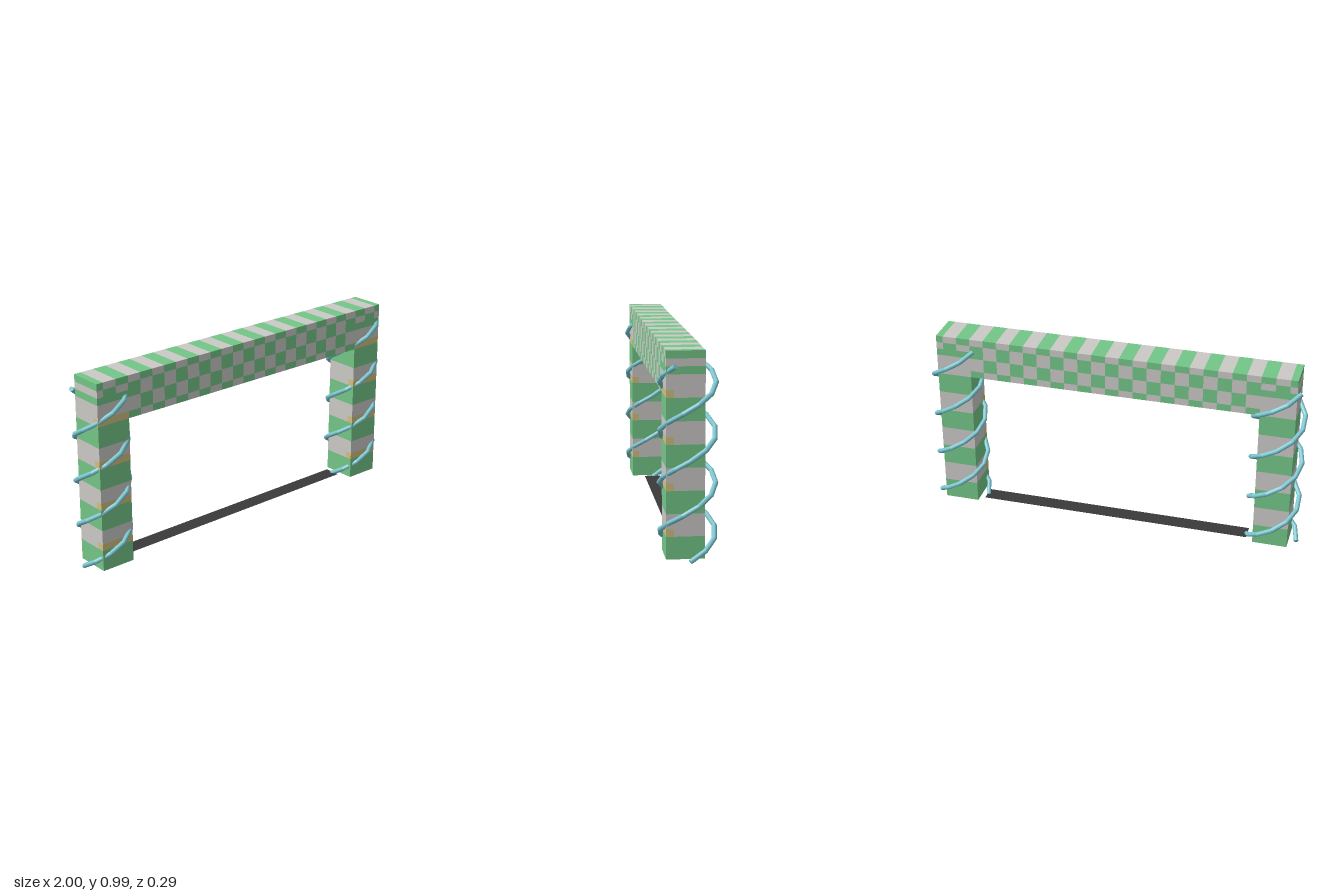
import * as THREE from 'three';
import { mergeGeometries } from 'three/addons/utils/BufferGeometryUtils.js';

const U = 0.0363;                        // grid unit
const X0 = -26 * U - 0.003, Y0 = 0.0105, Z0 = -0.0715;

const mat = (name, color) => {
  const m = new THREE.MeshStandardMaterial({ color });
  m.name = name;
  return m;
};

export function createModel() {
  const group = new THREE.Group();
  const mats = {
    green: mat('green', 0x74c688),
    grey: mat('light grey', 0xcbcac7),
    tan: mat('tan', 0xd2c181),
    cyan: mat('pale cyan', 0x7cc8d2),
    dark: mat('charcoal', 0x3a3a3a),
  };
  const add = (name, geo, m) => {
    const mesh = new THREE.Mesh(geo, m);
    mesh.name = name;
    group.add(mesh);
    return mesh;
  };

  // Block given by its grid corner and size
  const block = (x, y, z, w, h, d) =>
    new THREE.BoxGeometry(w * U, h * U, d * U)
      .translate(X0 + (x + w / 2) * U, Y0 + (y + h / 2) * U, Z0 + (z + d / 2) * U);

  // Checkered columns; column c covers two units, end columns only one
  const checker = (parts, x1, x2, y, h, row) => {
    for (let c = 0; c <= 26; c++) {
      const a = Math.max(2 * c - 1, x1), b = Math.min(2 * c + 1, x2);
      if (b > a) parts[(c + row) % 2 ? 'grey' : 'green'].push(block(a, y, 0, b - a, h, 5));
    }
  };
  const addParts = (name, parts) => {
    for (const key in parts) add(name + ' ' + key, mergeGeometries(parts[key]), mats[key]);
  };

  // Crossbeam between the legs
  const beam = { green: [], grey: [] };
  [[26, 1], [24, 2], [22, 2], [21, 1]].forEach(([y, h], row) => checker(beam, 5, 47, y, h, row));
  addParts('crossbeam', beam);

  // Striped legs with tan front ledges and a checkered top
  for (const [side, x] of [['right', 0], ['left', 47]]) {
    const leg = { green: [], grey: [], tan: [] };
    for (let i = 0; i < 9; i++) {
      const y = i * 3;
      if (i === 8) leg.green.push(block(x, y, 0, 5, 1, 5));
      else if (i % 2 === 0) leg.green.push(block(x, y, 0, 5, 3, 5));
      else {
        leg.tan.push(block(x, y, 4, 5, 1, 1));
        leg.grey.push(block(x, y, 0, 5, 1, 4), block(x, y + 1, 0, 5, 2, 5));
      }
    }
    checker(leg, x, x + 5, 26, 1, 0);
    checker(leg, x, x + 5, 25, 1, 1);
    addParts(side + ' leg', leg);
  }

  // Double spiral of straight rods around each leg
  const R = 0.132, up = new THREE.Vector3(0, 1, 0);
  for (const [side, cx] of [['right', -0.8545], ['left', 0.8545]]) {
    for (const phase of [0, Math.PI]) {
      const pts = [];
      for (let i = 0; i < 22; i++) {
        const a = phase + (i / 11) * Math.PI * 2;
        pts.push(new THREE.Vector3(cx + R * Math.cos(a), 0.0105 + i * 0.0433, -R * Math.sin(a)));
      }
      const rods = [];
      for (let i = 0; i < 21; i++) {
        const d = pts[i + 1].clone().sub(pts[i]);
        const rod = new THREE.CylinderGeometry(0.012, 0.012, d.length() * 1.05, 8);
        rod.applyQuaternion(new THREE.Quaternion().setFromUnitVectors(up, d.clone().normalize()));
        const mid = pts[i].clone().add(pts[i + 1]).multiplyScalar(0.5);
        rods.push(rod.translate(mid.x, mid.y, mid.z));
      }
      add(side + ' spiral ' + (phase ? 'B' : 'A'), mergeGeometries(rods), mats.cyan);
    }
  }

  // Flat floor strip between the legs
  mats.dark.side = THREE.DoubleSide;
  const strip = add('floor strip', new THREE.PlaneGeometry(1.456, 0.088).rotateX(-Math.PI / 2), mats.dark);
  strip.position.set(0, 0.015, 0);

  return group;
}
